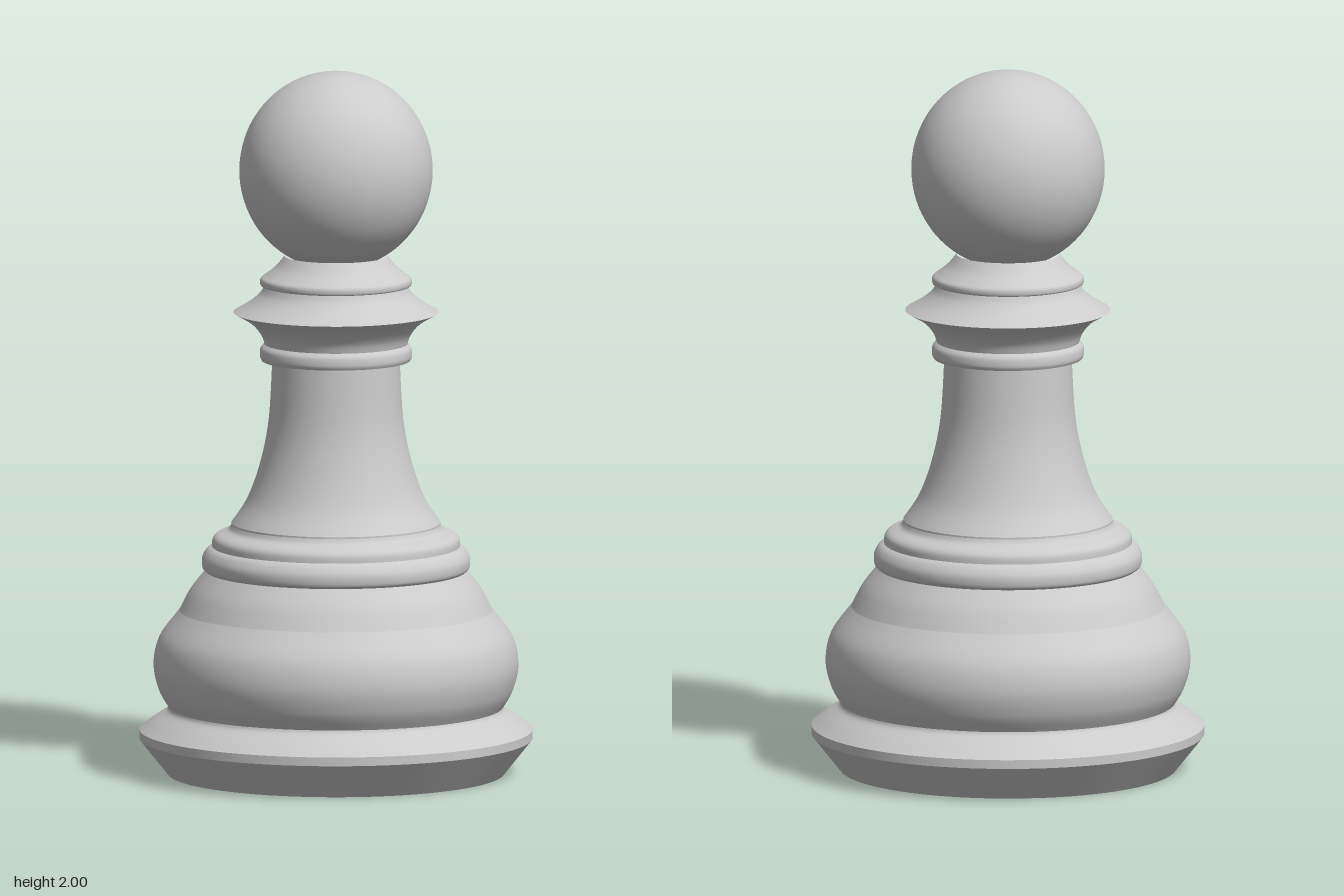
import * as THREE from 'three';

const SEGMENTS = 96;
const material = new THREE.MeshStandardMaterial({ color: 0xcccccc });
const toPoints = (profile) => profile.map(([r, y]) => new THREE.Vector2(r, y));

// Smoothly curved turned section, profile given as [radius, height] from bottom to top
function turned(name, profile, steps = 16) {
  const points = new THREE.SplineCurve(toPoints(profile)).getPoints(steps);
  const mesh = new THREE.Mesh(new THREE.LatheGeometry(points, SEGMENTS), material);
  mesh.name = name;
  return mesh;
}

// Straight-sided section: each span is its own lathe so the edges stay sharp
function faceted(name, profile) {
  const group = new THREE.Group();
  group.name = name;
  for (let i = 1; i < profile.length; i++) {
    group.add(turned(name + 'Band', [profile[i - 1], profile[i]], 1));
  }
  return group;
}

export function createModel() {
  const model = new THREE.Group();
  model.name = 'pawn';

  // Foot with bevelled rim
  model.add(faceted('foot', [[0, 0], [0.475, 0], [0.555, 0.1], [0.555, 0.125]]));
  model.add(turned('footTop', [[0.555, 0.125], [0.515, 0.155], [0.48, 0.178], [0.472, 0.19]]));

  // Rounded belly and the shoulder above it
  model.add(turned('belly', [[0.472, 0.19], [0.5, 0.24], [0.515, 0.31], [0.5, 0.385], [0.45, 0.455]], 28));
  model.add(faceted('bellyGroove', [[0.45, 0.455], [0.442, 0.465]]));
  model.add(turned('shoulder', [[0.442, 0.465], [0.41, 0.525], [0.368, 0.578]]));

  // Stacked mouldings under the stem
  model.add(turned('lowerRing', [[0.368, 0.578], [0.377, 0.588], [0.378, 0.615], [0.365, 0.638], [0.35, 0.648]]));
  model.add(turned('upperRing', [[0.35, 0.648], [0.348, 0.668], [0.335, 0.682], [0.305, 0.695], [0.295, 0.71]]));

  // Flared stem
  model.add(turned('stem', [[0.295, 0.715], [0.25, 0.785], [0.213, 0.89], [0.19, 1.01], [0.18, 1.175]], 28));
  model.add(faceted('stemStep', [[0.295, 0.71], [0.295, 0.715]]));

  // Neck ring
  model.add(faceted('neckRingUnderside', [[0.18, 1.175], [0.21, 1.178]]));
  model.add(turned('neckRing', [[0.21, 1.178], [0.215, 1.19], [0.213, 1.212], [0.202, 1.225]]));

  // Sharp collar, concave below and above
  model.add(turned('collarUnderside', [[0.202, 1.225], [0.212, 1.252], [0.24, 1.285], [0.29, 1.315]]));
  model.add(turned('collarTop', [[0.29, 1.315], [0.245, 1.342], [0.215, 1.368], [0.202, 1.39]]));

  // Small cap ring below the head
  model.add(turned('capRing', [[0.202, 1.39], [0.213, 1.393], [0.213, 1.41], [0.198, 1.422]]));
  model.add(turned('capTop', [[0.198, 1.422], [0.17, 1.445], [0.145, 1.475]]));

  // Slightly tall round head
  const head = new THREE.Mesh(new THREE.SphereGeometry(0.273, 64, 40), material);
  head.name = 'head';
  head.scale.y = 0.281 / 0.273;
  head.position.y = 1.719;
  model.add(head);

  return model;
}
